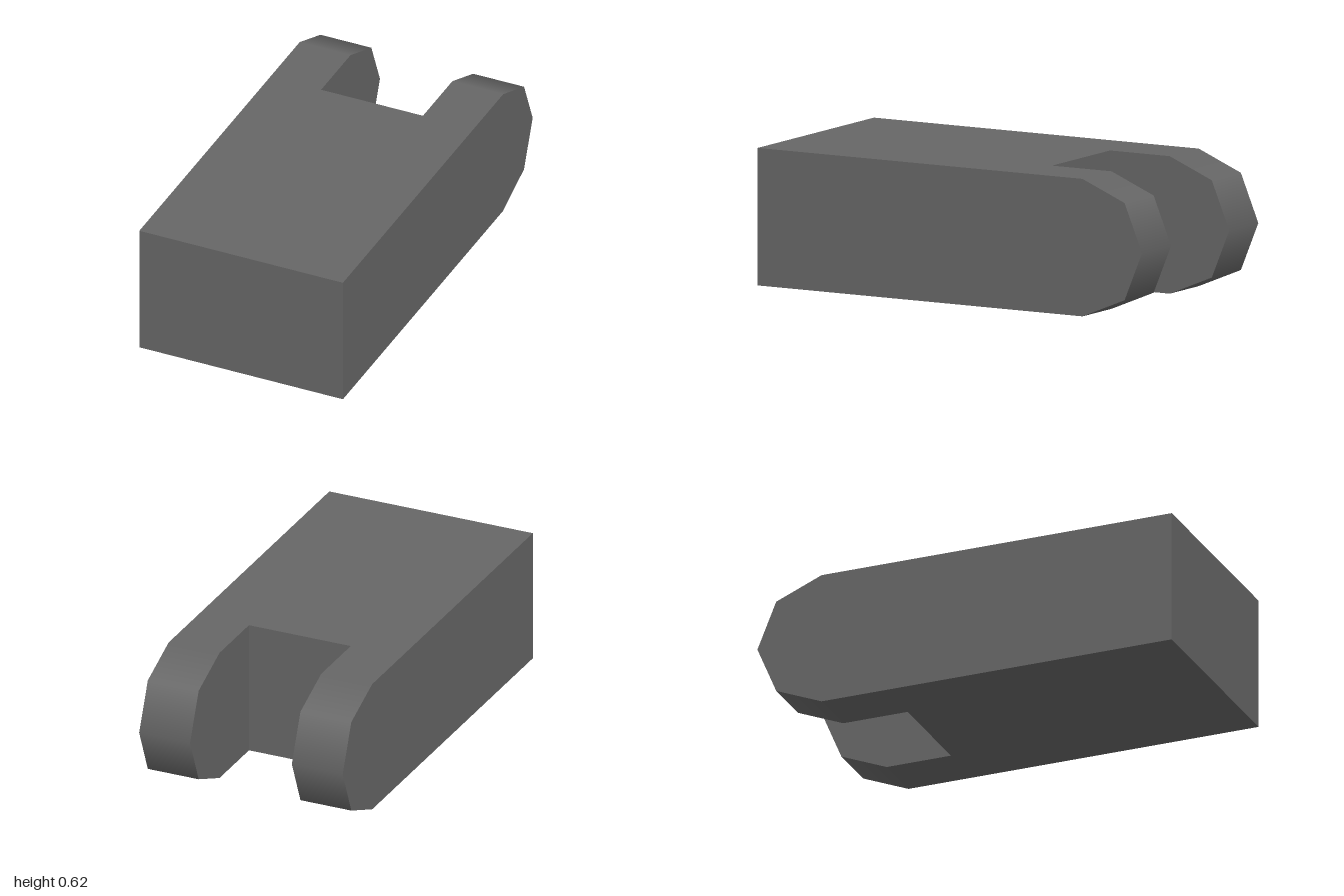
import * as THREE from 'three';

const HEIGHT = 0.62;
const RADIUS = HEIGHT / 2;
const HALF_WIDTH = 0.5;
const SLOT_HALF = 0.25;
const SLOT_Z = -0.38;
const CAP_Z = -1 + RADIUS;

export function createModel() {
  const group = new THREE.Group();
  group.name = 'clevisBlock';
  const darkGrey = new THREE.MeshStandardMaterial({ color: 0x666666 });
  darkGrey.name = 'darkGrey';

  // Forked block: U-shaped plan (x, -z) extruded upwards
  const plan = new THREE.Shape([
    [-HALF_WIDTH, -1], [HALF_WIDTH, -1],
    [HALF_WIDTH, -CAP_Z], [SLOT_HALF, -CAP_Z],
    [SLOT_HALF, -SLOT_Z], [-SLOT_HALF, -SLOT_Z],
    [-SLOT_HALF, -CAP_Z], [-HALF_WIDTH, -CAP_Z],
  ].map(([x, y]) => new THREE.Vector2(x, y)));
  const blockGeometry = new THREE.ExtrudeGeometry(plan, { depth: HEIGHT, bevelEnabled: false });
  blockGeometry.rotateX(-Math.PI / 2);
  const block = new THREE.Mesh(blockGeometry, darkGrey);
  block.name = 'forkedBlock';
  group.add(block);

  // Half-round tip on each prong, four smooth-shaded segments
  const tipGeometry = new THREE.CylinderGeometry(
    RADIUS, RADIUS, HALF_WIDTH - SLOT_HALF, 4, 1, false, Math.PI / 2, Math.PI);
  tipGeometry.rotateZ(Math.PI / 2);
  for (const side of [-1, 1]) {
    const tip = new THREE.Mesh(tipGeometry, darkGrey);
    tip.name = side > 0 ? 'leftProngTip' : 'rightProngTip';
    tip.position.set(side * (HALF_WIDTH + SLOT_HALF) / 2, RADIUS, CAP_Z);
    group.add(tip);
  }
  return group;
}
